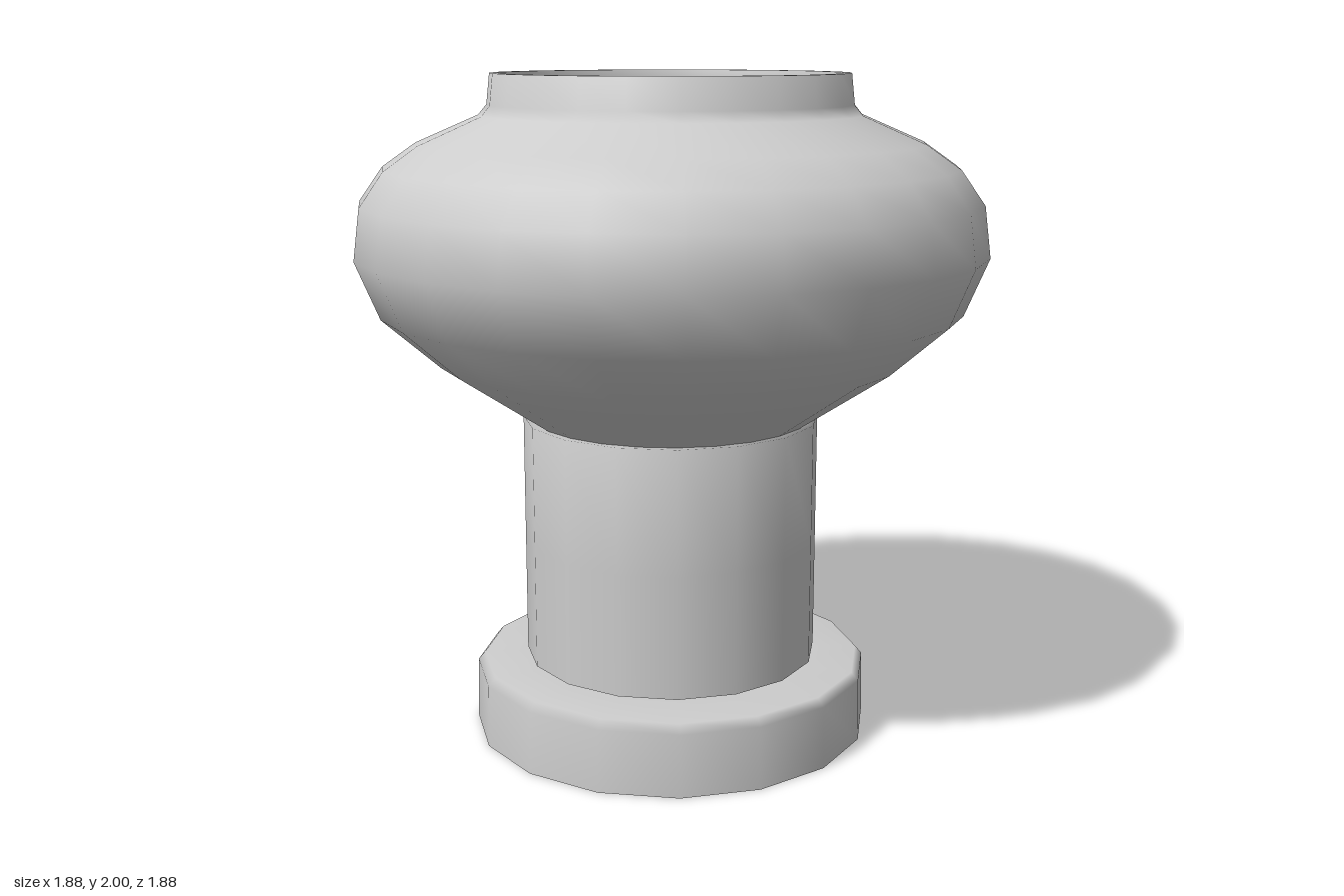
import * as THREE from 'three';

const grey = new THREE.MeshStandardMaterial({ color: 0xcccccc, side: THREE.DoubleSide });
grey.name = 'plain grey';

// Smooth turned part from [radius, height] pairs
function turned(name, sides, profile) {
  const points = profile.map(([r, y]) => new THREE.Vector2(r, y));
  const mesh = new THREE.Mesh(new THREE.LatheGeometry(points, sides), grey);
  mesh.name = name;
  return mesh;
}

export function createModel() {
  const group = new THREE.Group();
  group.name = 'lamp';

  // Hollow base ring, open below, with a hole under the column
  group.add(turned('base', 16, [
    [0.61, 0], [0.606, 0.19], [0.585, 0.215], [0.41, 0.215],
  ]));

  // Open tube floating just above the base, turned in at the top
  group.add(turned('column', 16, [
    [0.45, 0.23], [0.45, 0.6], [0.45, 0.975], [0.38, 0.976],
  ]));

  // Squat globe with a thin wall: outside up to the rim, then back down inside
  group.add(turned('globe', 24, [
    [0.42, 0.972], [0.70, 1.16], [0.87, 1.31], [0.94, 1.48], [0.92, 1.63],
    [0.85, 1.73], [0.75, 1.80], [0.565, 1.88], [0.54, 1.91], [0.53, 2],
    [0.505, 2], [0.51, 1.91], [0.54, 1.86], [0.73, 1.78], [0.83, 1.71],
    [0.89, 1.62], [0.91, 1.48], [0.84, 1.32], [0.68, 1.18], [0.40, 1.0], [0, 0.98],
  ]));

  // Bulb standing inside the globe
  const bulb = [[0.11, 0.98], [0.12, 1.09]];
  for (let i = 0; i <= 8; i++) {
    const a = -1.0 + (i / 8) * (Math.PI / 2 + 1.0);
    bulb.push([Math.max(0, 0.23 * Math.cos(a)), 1.32 + 0.23 * Math.sin(a)]);
  }
  group.add(turned('bulb', 16, bulb));

  return group;
}
